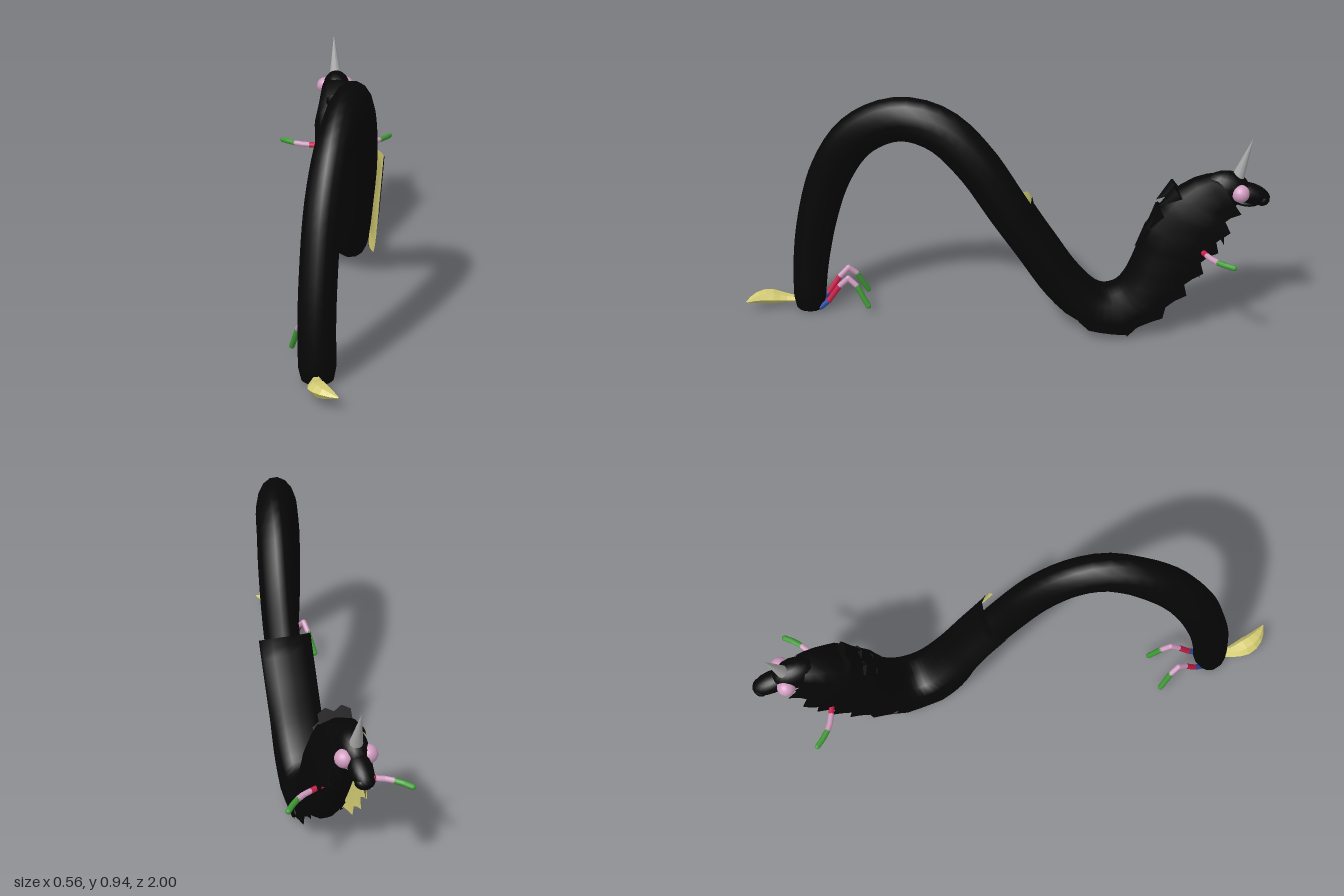
import * as THREE from 'three';

const V = (x, y, z) => new THREE.Vector3(x, y, z);
const mat = (name, color) => Object.assign(new THREE.MeshStandardMaterial({ color }), { name });

// Sweep cross-sections along a curve; ring(u, i) gives [sideways, dorsal] offsets
function sweep(curve, rows, ring, { closed = true, flip = false, flat = false } = {}) {
  const pos = [], idx = [];
  let n = 0;
  for (let i = 0; i <= rows; i++) {
    const u = i / rows, p = curve.getPointAt(u), t = curve.getTangentAt(u);
    const x = V(1, 0, 0).addScaledVector(t, -t.x).normalize();
    const up = x.clone().cross(t);
    const pts = ring(u, i);
    n = pts.length;
    for (const [a, b] of pts) pos.push(...p.clone().addScaledVector(x, a).addScaledVector(up, b).toArray());
  }
  for (let i = 0; i < rows; i++) {
    for (let j = 0; j < (closed ? n : n - 1); j++) {
      const k = (j + 1) % n, a = i * n + j, b = i * n + k, c = a + n, d = b + n;
      if (flip) idx.push(a, b, c, b, d, c);
      else idx.push(a, c, b, b, c, d);
    }
  }
  let g = new THREE.BufferGeometry();
  g.setAttribute('position', new THREE.Float32BufferAttribute(pos, 3));
  g.setIndex(idx);
  if (flat) g = g.toNonIndexed();
  g.computeVertexNormals();
  return g;
}

const oval = (rx, ry, n) => Array.from({ length: n }, (_, k) => {
  const a = k / n * Math.PI * 2;
  return [rx * Math.cos(a), ry * Math.sin(a)];
});

// Linear interpolation through evenly spaced values
function ramp(values, u) {
  const s = u * (values.length - 1), i = Math.min(Math.floor(s), values.length - 2);
  return THREE.MathUtils.lerp(values[i], values[i + 1], s - i);
}

export function createModel() {
  const black = mat('black hide', 0x060606), yellow = mat('pale yellow', 0xd5cd74);
  const pink = mat('pink', 0xd09cc0), red = mat('crimson', 0xcc1f4a);
  const green = mat('green', 0x3f9a36), blue = mat('blue', 0x2a4aa5), grey = mat('horn grey', 0xa6a6a6);
  const model = new THREE.Group();
  model.name = 'serpent';
  const add = (name, geo, m, parent = model) => {
    const mesh = new THREE.Mesh(geo, m);
    mesh.name = name;
    parent.add(mesh);
    return mesh;
  };
  const blob = (name, m, c, r, tilt = 0) => {
    const b = add(name, new THREE.SphereGeometry(1, 16, 12), m);
    b.position.set(...c);
    b.scale.set(...r);
    b.rotation.x = tilt;
  };
  const spike = (name, m, from, to, r, sides = 8, flat = 1) => {
    const dir = to.clone().sub(from);
    const s = add(name, new THREE.ConeGeometry(r, dir.length(), sides), m);
    s.position.copy(from).add(to).multiplyScalar(0.5);
    s.quaternion.setFromUnitVectors(V(0, 1, 0), dir.normalize());
    s.scale.x = flat;
  };

  // Body: tail, high arch, low dip, rising neck
  const path = [
    V(-0.205, 0.012, 0.75), V(-0.206, 0.2, 0.738), V(-0.195, 0.4, 0.705), V(-0.172, 0.6, 0.645),
    V(-0.13, 0.76, 0.55), V(-0.08, 0.845, 0.43), V(-0.04, 0.863, 0.33), V(-0.01, 0.825, 0.22),
    V(0.018, 0.705, 0.1), V(0.035, 0.52, -0.02), V(0.038, 0.36, -0.125), V(0.038, 0.21, -0.225),
    V(0.038, 0.115, -0.32), V(0.038, 0.092, -0.4), V(0.038, 0.11, -0.48), V(0.038, 0.17, -0.55),
    V(0.038, 0.3, -0.63), V(0.038, 0.43, -0.7), V(0.038, 0.53, -0.77), V(0.038, 0.575, -0.84)];
  const bodyRows = 60;
  add('body', sweep(new THREE.CatmullRomCurve3(path), bodyRows, (u, i) => {
    const k = i === 0 || i === bodyRows ? 0.85 : 1;
    return oval(0.067 * k, ramp([0.062, 0.074, 0.081, 0.086, 0.086, 0.082, 0.079, 0.079, 0.079, 0.079, 0.079], u) * k, 14);
  }), black);
  blob('tailEnd', black, [-0.205, 0.014, 0.75], [0.056, 0.01, 0.052]);

  // Mane: a cape over the back, open along the belly, with ragged edges
  const capeCurve = new THREE.CatmullRomCurve3([V(0.035, 0.52, -0.02), ...path.slice(10)]);
  const capeRing = (inset) => (u, i) => {
    const w = ramp([0.1, 0.1, 0.1, 0.1, 0.1, 0.1, 0.1, 0.1, 0.097, 0.06], u) - inset;
    const flare = i === 0 ? 0.012 : 0;
    const d = ramp([0.09, 0.087, 0.087, 0.087, 0.09, 0.103, 0.125, 0.15, 0.138, 0.08], u) + flare - inset;
    const jag = [0.035, 0, 0.012][i % 3] * THREE.MathUtils.clamp(u * 3 - 1, 0, 1);
    const low = -jag - ramp([-0.03, -0.025, -0.01, 0.03, 0.06, 0.06, 0.07, 0.08, 0.09, 0.05], u);
    const half = [[w * 0.95, low], [w, low * 0.6 + d * 0.24], [w * 0.93, d * 0.6], [w * 0.6, d * 0.9]];
    return [...half, [0, d], ...half.map(([a, b]) => [-a, b]).reverse()];
  };
  add('maneOuter', sweep(capeCurve, 36, capeRing(0), { closed: false }), black);
  add('maneLining', sweep(capeCurve, 36, capeRing(0.004), { closed: false, flip: true }), yellow);

  // Ragged tufts down the back of the neck and along the mane's lower rim
  for (const [y0, z0, y1, z1] of [
    [0.59, -0.65, 0.535, -0.575], [0.5, -0.6, 0.43, -0.54], [0.42, -0.565, 0.34, -0.5]]) {
    for (const x of [0.008, 0.068]) spike('maneTuft', black, V(x, y0, z0), V(x, y1, z1), 0.035, 6);
  }
  for (const s of [-1, 1]) {
    spike('maneTip', black, V(0.038 + s * 0.095, 0.09, -0.5), V(0.038 + s * 0.09, 0.012, -0.465), 0.025, 6, 0.25);
    spike('maneTip', black, V(0.038 + s * 0.094, 0.35, -0.7), V(0.038 + s * 0.09, 0.26, -0.735), 0.03, 6, 0.15);
    spike('throatTip', black, V(0.038 + s * 0.06, 0.52, -0.79), V(0.038 + s * 0.06, 0.38, -0.825), 0.035, 6, 0.25);
  }

  // Head
  blob('skull', black, [0.04, 0.588, -0.835], [0.056, 0.07, 0.09], -0.2);
  blob('snout', black, [0.04, 0.565, -0.925], [0.042, 0.04, 0.08], -0.35);
  blob('nose', black, [0.04, 0.543, -0.97], [0.036, 0.027, 0.03]);
  blob('lowerJaw', black, [0.04, 0.53, -0.91], [0.03, 0.014, 0.05], -0.15);
  spike('horn', grey, V(0.04, 0.625, -0.872), V(0.04, 0.79, -0.925), 0.026, 10);
  for (const s of [-1, 1]) blob('eye', pink, [0.04 + s * 0.043, 0.585, -0.88], [0.034, 0.034, 0.034]);

  // Jointed limbs: one coloured segment between each pair of points
  function limb(name, points, colours) {
    const g = new THREE.Group();
    g.name = name;
    model.add(g);
    colours.forEach((m, i) => {
      const a = points[i], dir = points[i + 1].clone().sub(a);
      const seg = add(name + 'Segment', new THREE.CapsuleGeometry(0.011, dir.length(), 3, 8), m, g);
      seg.position.copy(a).addScaledVector(dir, 0.5);
      seg.quaternion.setFromUnitVectors(V(0, 1, 0), dir.normalize());
    });
  }
  for (const s of [-1, 1]) {
    const f = (x, z) => V(0.038 + s * x, 0.368, z);
    limb('frontLeg', [f(0.04, -0.72), f(0.085, -0.74), f(0.12, -0.752), f(0.15, -0.765), f(0.178, -0.784),
      f(0.205, -0.81), f(0.226, -0.836)], [red, red, pink, pink, green, green]);
    const h = (x, y, z) => V(-0.203 + s * x, y, z);
    limb('hindLeg', [h(0.032, 0.02, 0.705), h(0.036, 0.048, 0.675), h(0.04, 0.115, 0.63), h(0.045, 0.15, 0.595),
      h(0.053, 0.12, 0.563), h(0.062, 0.075, 0.54), h(0.07, 0.038, 0.52)],
    [blue, red, pink, pink, green, green]);
  }

  // Tail tuft: a curled leaf shape
  const tuftCurve = new THREE.CatmullRomCurve3([
    V(-0.21, 0.035, 0.78), V(-0.22, 0.04, 0.85), V(-0.216, 0.05, 0.91), V(-0.195, 0.055, 0.955), V(-0.16, 0.055, 0.995)]);
  add('tailTuft', sweep(tuftCurve, 8, (u) => oval(
    ramp([0.012, 0.019, 0.03, 0.037, 0.034, 0.022, 0.003], u),
    ramp([0.01, 0.013, 0.018, 0.026, 0.025, 0.016, 0.003], u), 6), { flat: true }), yellow);

  return model;
}
